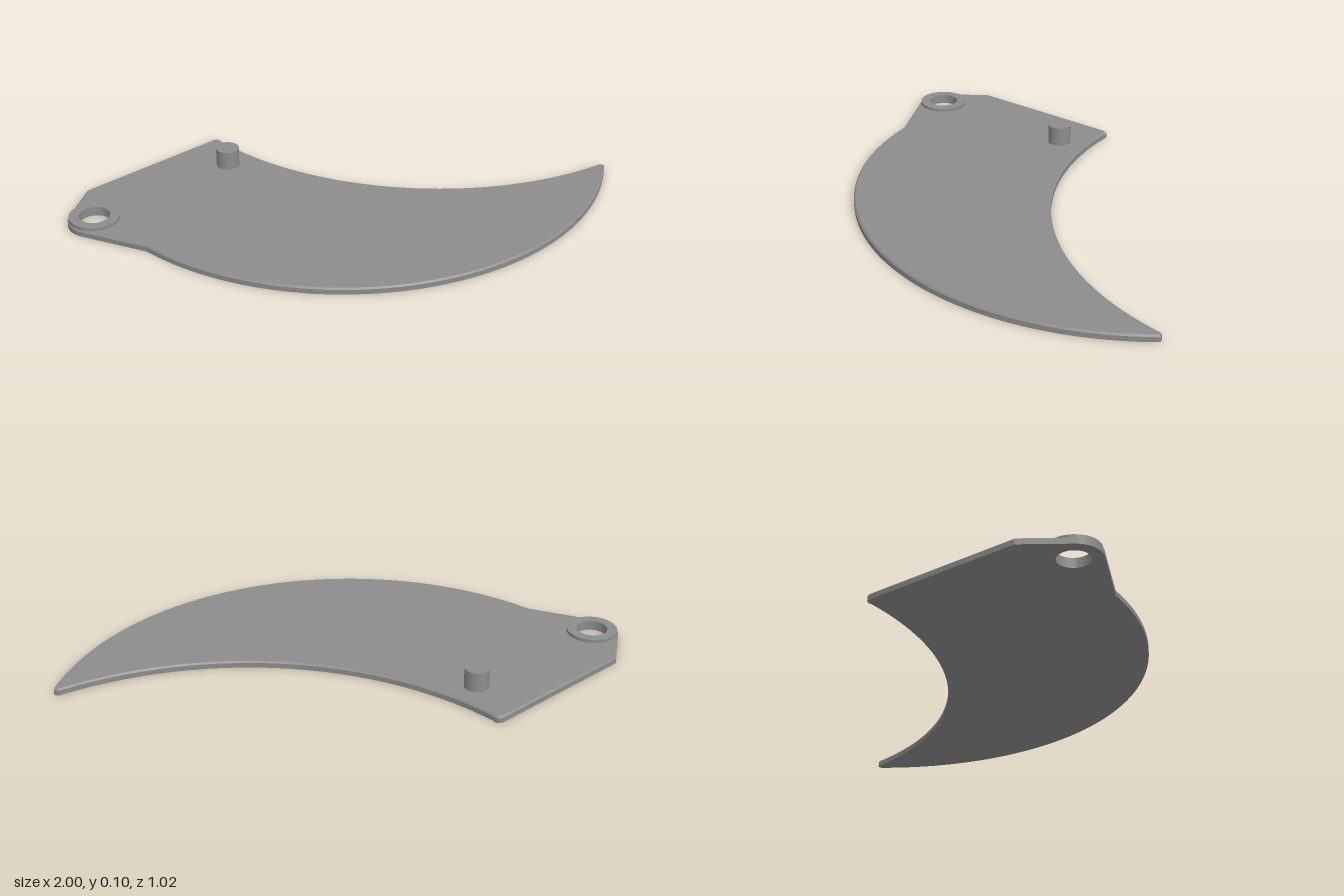
import * as THREE from 'three';
import { toCreasedNormals } from 'three/addons/utils/BufferGeometryUtils.js';

const steel = new THREE.MeshStandardMaterial({ color: 0x8c8c8c });
steel.name = 'grey steel';

const PIVOT = { x: -0.9, z: 0.155 };
const PEG = { x: -0.485, z: -0.31 };
const PLATE = 0.025;
const CHAMFER = 0.006;

function addPart(group, name, geometry) {
  const mesh = new THREE.Mesh(geometry, steel);
  mesh.name = name;
  group.add(mesh);
  return mesh;
}

// Crescent outline, drawn with shape y = -z
function bladeShape() {
  const s = new THREE.Shape();
  s.moveTo(0.998, 0.5);
  s.absarc(-0.06, 0.555, 1.06, -0.052, -2.172, true); // outer edge
  s.absarc(PIVOT.x, -PIVOT.z, 0.1, -1.81, -3.2, true); // round lug
  s.lineTo(-0.985, 0.04);
  s.lineTo(-0.585, 0.505);
  s.lineTo(-0.57, 0.512);
  s.lineTo(-0.557, 0.507);
  s.absarc(0.205, 1.408, 1.183, -2.27, -0.862, false); // inner edge
  s.lineTo(0.985, 0.512);
  s.lineTo(0.997, 0.507);
  const hole = new THREE.Path();
  hole.absarc(PIVOT.x, -PIVOT.z, 0.075, 0, Math.PI * 2, false);
  s.holes.push(hole);
  return s;
}

// Plate chamfered on the top edge only
function bladeGeometry() {
  const geo = new THREE.ExtrudeGeometry(bladeShape(), {
    depth: PLATE - CHAMFER, curveSegments: 56, bevelEnabled: true,
    bevelThickness: CHAMFER, bevelSize: CHAMFER, bevelOffset: -CHAMFER, bevelSegments: 1,
  });
  // Flatten the lower bevel into the underside
  const pos = geo.attributes.position;
  for (let i = 0; i < pos.count; i++) pos.setZ(i, Math.max(0, pos.getZ(i)));
  geo.rotateX(-Math.PI / 2);
  return toCreasedNormals(geo, 0.5);
}

// Raised collar with a through hole
function collarGeometry() {
  const [inner, outer, low, high] = [0.058, 0.095, 0, 0.037];
  const profile = [[inner, low], [outer, low], [outer, high], [inner, high], [inner, low]]
    .map(([r, y]) => new THREE.Vector2(r, y));
  return toCreasedNormals(new THREE.LatheGeometry(profile, 48), 0.5);
}

export function createModel() {
  const group = new THREE.Group();
  group.name = 'apertureBlade';

  addPart(group, 'blade', bladeGeometry());
  addPart(group, 'pivotCollar', collarGeometry()).position.set(PIVOT.x, 0, PIVOT.z);

  // Guide peg standing on the plate
  const pegHeight = 0.1 - PLATE + 0.005;
  addPart(group, 'guidePeg', new THREE.CylinderGeometry(0.045, 0.045, pegHeight, 40))
    .position.set(PEG.x, 0.1 - pegHeight / 2, PEG.z);

  return group;
}
